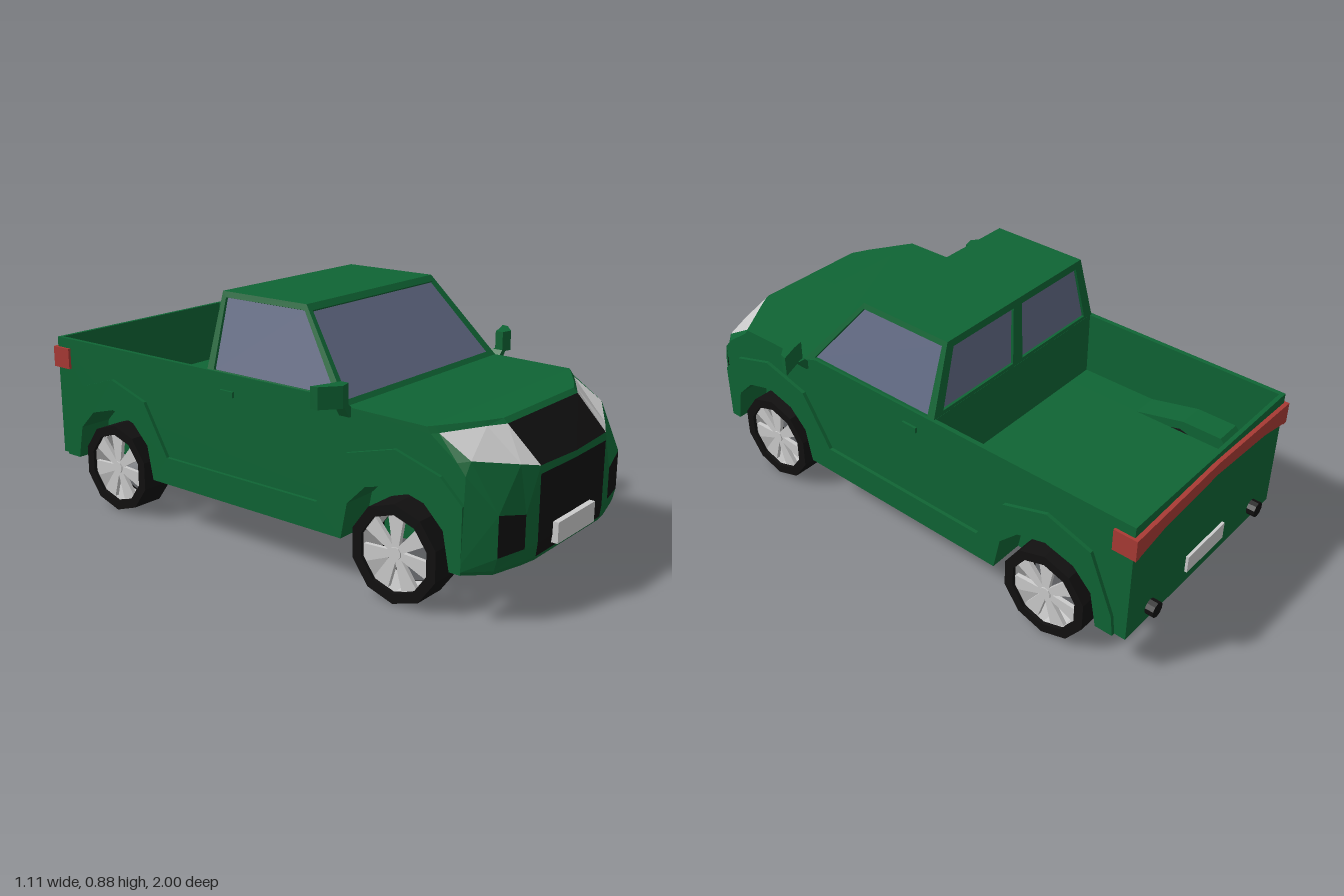
import * as THREE from 'three';

const mat = (color) => new THREE.MeshStandardMaterial({ color, flatShading: true, side: THREE.DoubleSide });
const GREEN = mat(0x0f6434), BLACK = mat(0x111010), GLASS = mat(0x626a84), RED = mat(0xa83a34), GREY = mat(0xcccccc);

const WHEEL_Z = [-0.66, 0.615];
const BOTTOM = 0.165;
const ARCH = [[-0.205, BOTTOM], [-0.18, 0.29], [-0.11, 0.36], [0, 0.39], [0.11, 0.36], [0.18, 0.29], [0.205, BOTTOM]];
const NOSE_EDGE = [[0.86, BOTTOM], [0.86, 0.47], [0.83, 0.505], [0.735, 0.575], [0.72, 0.595]];

export function createModel() {
  const model = new THREE.Group();

  const add = (name, geometry, material, parent = model) => {
    const mesh = new THREE.Mesh(geometry, material);
    mesh.name = name;
    parent.add(mesh);
    return mesh;
  };
  const shapeOf = (pts) => new THREE.Shape(pts.map(([a, b]) => new THREE.Vector2(a, b)));
  const extrude = (shape, depth) => new THREE.ExtrudeGeometry(shape, { depth, bevelEnabled: false, curveSegments: 1 });
  // (z, y) profile given thickness from x0 to x1
  const slab = (pts, x0, x1) => extrude(shapeOf(pts), x1 - x0).rotateY(-Math.PI / 2).translate(x1, 0, 0);
  const slabPair = (name, pts, x0, x1, material = GREEN) => {
    add(name + 'Left', slab(pts, x0, x1), material);
    add(name + 'Right', slab(pts, -x1, -x0), material);
  };
  const box = (name, x0, x1, y0, y1, z0, z1, material) =>
    add(name, new THREE.BoxGeometry(x1 - x0, y1 - y0, z1 - z0)
      .translate((x0 + x1) / 2, (y0 + y1) / 2, (z0 + z1) / 2), material);
  // corners of each quad run anticlockwise seen from outside
  const quads = (name, list, material) => {
    const g = new THREE.BufferGeometry();
    const pos = list.flatMap(([a, b, c, d]) => [a, b, c, a, c, d].flat());
    g.setAttribute('position', new THREE.Float32BufferAttribute(pos, 3));
    g.computeVertexNormals();
    add(name, g, material);
  };
  const mirror = (quad) => quad.map(([x, y, z]) => [-x, y, z]).reverse();

  // Lower body: middle core, side strips with wheel arches, outer bed walls
  const archedBottom = (z0) => [[z0, BOTTOM], ...WHEEL_Z.flatMap((c) => ARCH.map(([dz, y]) => [c + dz, y]))];
  const shoulder = [[0.42, 0.6], [0.36, 0.62]];
  const bed = (bump) => [[-0.185, 0.62], [-0.185, 0.38], ...bump, [-0.955, 0.38], [-0.955, 0.62], [-0.97, 0.62]];
  const wellTop = [[-0.48, 0.38], [-0.67, 0.425], [-0.82, 0.425], [-0.86, 0.38]];
  add('bodyCore', slab([[-0.97, BOTTOM], ...NOSE_EDGE, ...shoulder, ...bed([])], -0.32, 0.32), GREEN);
  slabPair('bodySide', [...archedBottom(-0.97), ...NOSE_EDGE, ...shoulder, ...bed(wellTop)], 0.32, 0.42);
  slabPair('outerPanel', [...archedBottom(-0.97), ...NOSE_EDGE, ...shoulder, [-0.97, 0.62]], 0.42, 0.437);

  // Raised wheel flares joined by the sill
  slabPair('flareAndSill', [
    ...archedBottom(-0.93), [0.86, BOTTOM], [0.86, 0.38], [0.78, 0.455], [0.615, 0.505], [0.43, 0.455], [0.31, 0.265],
    [-0.38, 0.265], [-0.49, 0.45], [-0.66, 0.505], [-0.83, 0.45], [-0.92, 0.24],
  ], 0.437, 0.45);

  // Nose: half grid of points, rows from hood to bumper bottom, columns from centre outward
  const rows = [
    [[0, 0.595, 0.85], [0.22, 0.595, 0.85], [0.28, 0.595, 0.82], [0.415, 0.595, 0.735], [0.437, 0.595, 0.72]],
    [[0, 0.58, 0.865], [0.22, 0.58, 0.865], [0.28, 0.58, 0.83], [0.415, 0.575, 0.75], [0.437, 0.575, 0.735]],
    [[0, 0.465, 0.985], [0.21, 0.47, 0.978], [0.27, 0.482, 0.945], [0.41, 0.51, 0.86], [0.437, 0.505, 0.83]],
    [[0, 0.443, 0.985], [0.21, 0.443, 0.98], [0.27, 0.33, 0.97], [0.385, 0.355, 0.945], [0.437, 0.47, 0.86]],
    [[0, 0.22, 0.98], [0.21, 0.22, 0.98], [0.27, 0.22, 0.97], [0.385, 0.22, 0.945], [0.45, 0.2, 0.86]],
    [[0, 0.178, 0.975], [0.21, 0.178, 0.975], [0.27, 0.178, 0.965], [0.385, 0.178, 0.935], [0.45, 0.175, 0.86]],
  ];
  rows.push(rows[5].map(([x, , z]) => [x, BOTTOM, z - 0.005]));
  rows.push(rows[5].map(([x]) => [x, BOTTOM, 0.85]));
  rows.unshift(rows[0].map(([x]) => [x, 0.595, 0.7]));
  const cells = { nose: [], grille: [], headlights: [], fogIntakes: [] };
  for (let r = 0; r < rows.length - 1; r++) {
    for (let c = 0; c < 4; c++) {
      let part = 'nose';
      if (c === 0 && (r === 2 || r === 4 || r === 5)) part = 'grille';
      else if (r === 2 && c < 3) part = 'headlights';
      else if (r === 4 && c === 2) part = 'fogIntakes';
      const q = [rows[r + 1][c], rows[r + 1][c + 1], rows[r][c + 1], rows[r][c]];
      cells[part].push(q, mirror(q));
    }
  }
  quads('nose', cells.nose, GREEN);
  quads('grille', cells.grille, BLACK);
  quads('headlights', cells.headlights, GREY);
  quads('fogIntakes', cells.fogIntakes, BLACK);

  // Cab: each wall is a frame around a slightly sunken pane
  const frames = [], panes = [];
  const wall = ([bl, br, tr, tl], u0, u1, v0, v1, mirrored) => {
    const [A, B, C, D] = [bl, br, tr, tl].map((p) => new THREE.Vector3(...p));
    const inward = B.clone().sub(A).cross(D.clone().sub(A)).normalize().multiplyScalar(-0.01);
    const at = (u, v) => A.clone().lerp(B, u).lerp(D.clone().lerp(C, u), v);
    const inner = [at(u0, v0), at(u1, v0), at(u1, v1), at(u0, v1)];
    const sunk = inner.map((p) => p.clone().add(inward).toArray());
    const outer = [bl, br, tr, tl], rim = inner.map((p) => p.toArray());
    const ring = [];
    for (let i = 0; i < 4; i++) {
      const j = (i + 1) % 4;
      ring.push([outer[i], outer[j], rim[j], rim[i]], [rim[i], rim[j], sunk[j], sunk[i]]);
    }
    frames.push(...ring);
    panes.push(sunk);
    if (mirrored) {
      frames.push(...ring.map(mirror));
      panes.push(mirror(sunk));
    }
  };
  const fb = [0.435, 0.6, 0.42], ft = [0.35, 0.877, 0.19], rb = [0.435, 0.6, -0.185], rt = [0.35, 0.877, -0.178];
  const flip = ([x, y, z]) => [-x, y, z];
  wall([flip(fb), fb, ft, flip(ft)], 0.025, 0.975, 0.055, 0.93, false);
  wall([fb, rb, rt, ft], 0.05, 0.95, 0.08, 0.93, true);
  wall([rb, [0, 0.6, -0.185], [0, 0.877, -0.178], rt], 0.1, 0.94, 0.12, 0.9, true);
  frames.push([flip(ft), ft, rt, flip(rt)]);
  quads('cab', frames, GREEN);
  quads('windows', panes, GLASS);

  // Wheels: ten-sided tyre, barrel, hub and seven spokes
  const tyreShape = new THREE.Shape(), hole = new THREE.Path();
  for (let i = 0; i < 10; i++) {
    const a = Math.PI / 2 + (i * Math.PI) / 5;
    tyreShape[i ? 'lineTo' : 'moveTo'](0.165 * Math.cos(a), 0.165 * Math.sin(a));
    hole[i ? 'lineTo' : 'moveTo'](0.13 * Math.cos(a), 0.13 * Math.sin(a));
  }
  tyreShape.holes.push(hole);
  const spokeShape = shapeOf([[-0.01, 0.01], [0.01, 0.01], [0.03, 0.126], [-0.03, 0.126]]);
  for (const z of WHEEL_Z) {
    for (const side of [1, -1]) {
      const wheel = new THREE.Group();
      wheel.name = (z > 0 ? 'front' : 'rear') + 'Wheel' + (side > 0 ? 'Left' : 'Right');
      add('tyre', extrude(tyreShape, 0.122).translate(0, 0, -0.061), BLACK, wheel);
      add('barrel', new THREE.CylinderGeometry(0.128, 0.128, 0.1, 10, 1, true).rotateX(Math.PI / 2), GREY, wheel);
      add('hub', new THREE.CylinderGeometry(0.022, 0.022, 0.025, 10).rotateX(Math.PI / 2).translate(0, 0, 0.04), GREY, wheel);
      for (let i = 0; i < 7; i++) {
        add('spoke', extrude(spokeShape, 0.015).translate(0, 0, 0.033).rotateZ((i * 2 * Math.PI) / 7), GREY, wheel);
      }
      wheel.rotation.y = (side * Math.PI) / 2;
      wheel.position.set(side * 0.388, 0.165, z);
      model.add(wheel);
    }
  }

  // Mirrors and door handles
  for (const s of [1, -1]) {
    const side = s > 0 ? 'Left' : 'Right';
    const head = [[0.45, 0.41], [0.49, 0.4], [0.555, 0.375], [0.55, 0.4], [0.49, 0.45], [0.45, 0.44]];
    add('mirror' + side, extrude(shapeOf(head.map(([x, z]) => [s * x, -z])), 0.072)
      .rotateX(-Math.PI / 2).translate(0, 0.61, 0), GREEN);
    const arm = [[0.43, 0.57], [0.445, 0.57], [0.475, 0.615], [0.45, 0.615], [0.43, 0.595]];
    add('mirrorArm' + side, extrude(shapeOf(arm.map(([x, y]) => [s * x, y])), 0.04).translate(0, 0, 0.4), GREEN);
    box('doorHandle' + side, s * 0.44 - 0.006, s * 0.44 + 0.006, 0.543, 0.563, -0.115, -0.055, GREEN);
    box('tailLight' + side, s * 0.438 - 0.009, s * 0.438 + 0.009, 0.505, 0.583, -0.985, -0.9, RED);
    add('exhaust' + side, new THREE.CylinderGeometry(0.028, 0.028, 0.05, 10)
      .rotateX(Math.PI / 2).translate(s * 0.31, 0.215, -0.975), BLACK);
  }

  // Tail light band and blank plates
  const band = [[-0.445, 0.505], [-0.3, 0.535], [0, 0.555], [0.3, 0.535], [0.445, 0.505], [0.445, 0.583], [0, 0.6], [-0.445, 0.583]];
  add('tailLightBand', extrude(shapeOf(band), 0.015).translate(0, 0, -0.985), RED);
  box('frontPlate', -0.12, 0.12, 0.195, 0.265, 0.97, 1, GREY);
  box('rearPlate', -0.11, 0.11, 0.215, 0.28, -0.98, -0.96, GREY);

  return model;
}
